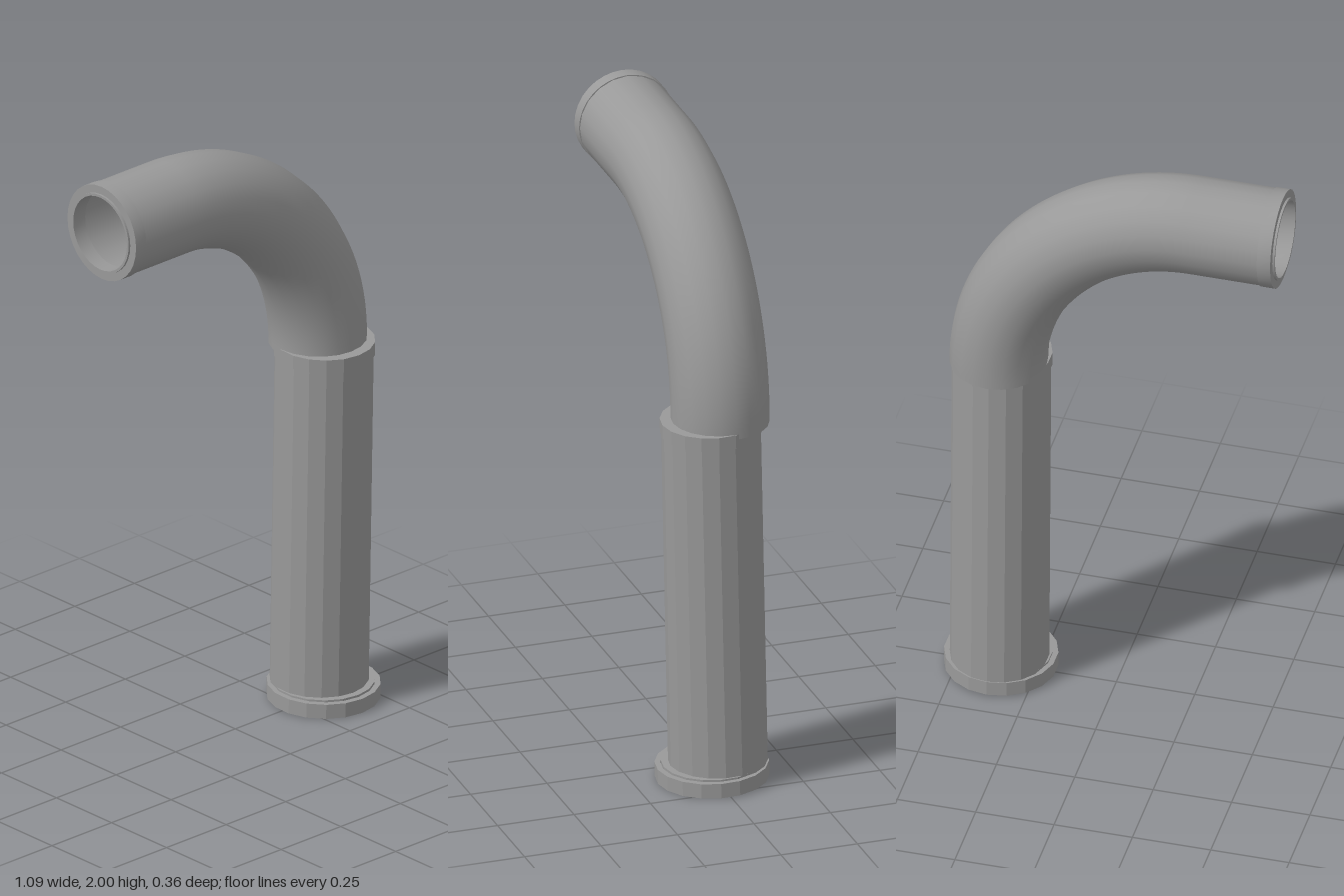
import * as THREE from 'three';
import { toCreasedNormals } from 'three/addons/utils/BufferGeometryUtils.js';

const SIDES = 18;
const smoothGrey = new THREE.MeshStandardMaterial({ color: 0x999999, side: THREE.DoubleSide });
const facetGrey = new THREE.MeshStandardMaterial({ color: 0x999999, side: THREE.DoubleSide, flatShading: true });

function named(name, geometry, material) {
  const mesh = new THREE.Mesh(geometry, material);
  mesh.name = name;
  return mesh;
}

// Hollow ring standing on its local y = 0
function ring(outer, inner, height, sides = SIDES) {
  const profile = [[inner, 0], [outer, 0], [outer, height], [inner, height], [inner, 0]];
  return new THREE.LatheGeometry(profile.map(([r, y]) => new THREE.Vector2(r, y)), sides);
}

export function createModel() {
  const group = new THREE.Group();
  const pipeX = 0.368, elbowZ = -0.024, topY = 1.847, bendY = 1.215, bendX = -0.262;

  // Lower pipe with its rings, leaning slightly forward
  const lower = new THREE.Group();
  lower.name = 'lowerPipe';
  lower.position.set(pipeX, 0.008, -0.018);
  lower.rotation.x = 0.02;
  lower.add(named('pipeWall', new THREE.CylinderGeometry(0.154, 0.154, 1.18, SIDES, 1, true).translate(0, 0.6, 0), facetGrey));
  const baseFlange = named('baseFlange', ring(0.177, 0.159, 0.048), facetGrey);
  baseFlange.position.z = 0.02;
  const baseLip = named('baseLip', ring(0.16, 0.138, 0.016), facetGrey);
  baseLip.position.set(0, 0.038, 0.017);
  // The collar closes the gap around the elbow
  const topCollar = named('topCollar', ring(0.158, 0.12, 0.045), facetGrey);
  topCollar.position.y = 1.163;
  lower.add(baseFlange, baseLip, topCollar);
  group.add(lower);

  // Elbow: straight run, quarter bend, short drop into the collar
  const k = 0.5523;
  const at = (x, y) => new THREE.Vector3(x, y, elbowZ);
  const path = new THREE.CurvePath();
  path.add(new THREE.LineCurve3(at(-0.52, topY), at(bendX, topY)));
  path.add(new THREE.CubicBezierCurve3(
    at(bendX, topY),
    at(bendX + k * (pipeX - bendX), topY),
    at(pipeX, bendY + k * (topY - bendY)),
    at(pipeX, bendY)));
  path.add(new THREE.LineCurve3(at(pipeX, bendY), at(pipeX, 1.2)));
  group.add(named('elbow', new THREE.TubeGeometry(path, 64, 0.153, 20, false), smoothGrey));

  // Mouth of the elbow: outer cuff and a slightly protruding inner lip
  const mouth = new THREE.Group();
  mouth.name = 'mouth';
  mouth.position.set(-0.495, topY, elbowZ);
  mouth.rotation.z = Math.PI / 2;
  mouth.add(named('cuff', toCreasedNormals(ring(0.156, 0.128, 0.043, 32), 0.6), smoothGrey));
  mouth.add(named('innerLip', toCreasedNormals(ring(0.13, 0.122, 0.05, 32), 0.6), smoothGrey));
  group.add(mouth);

  return group;
}
